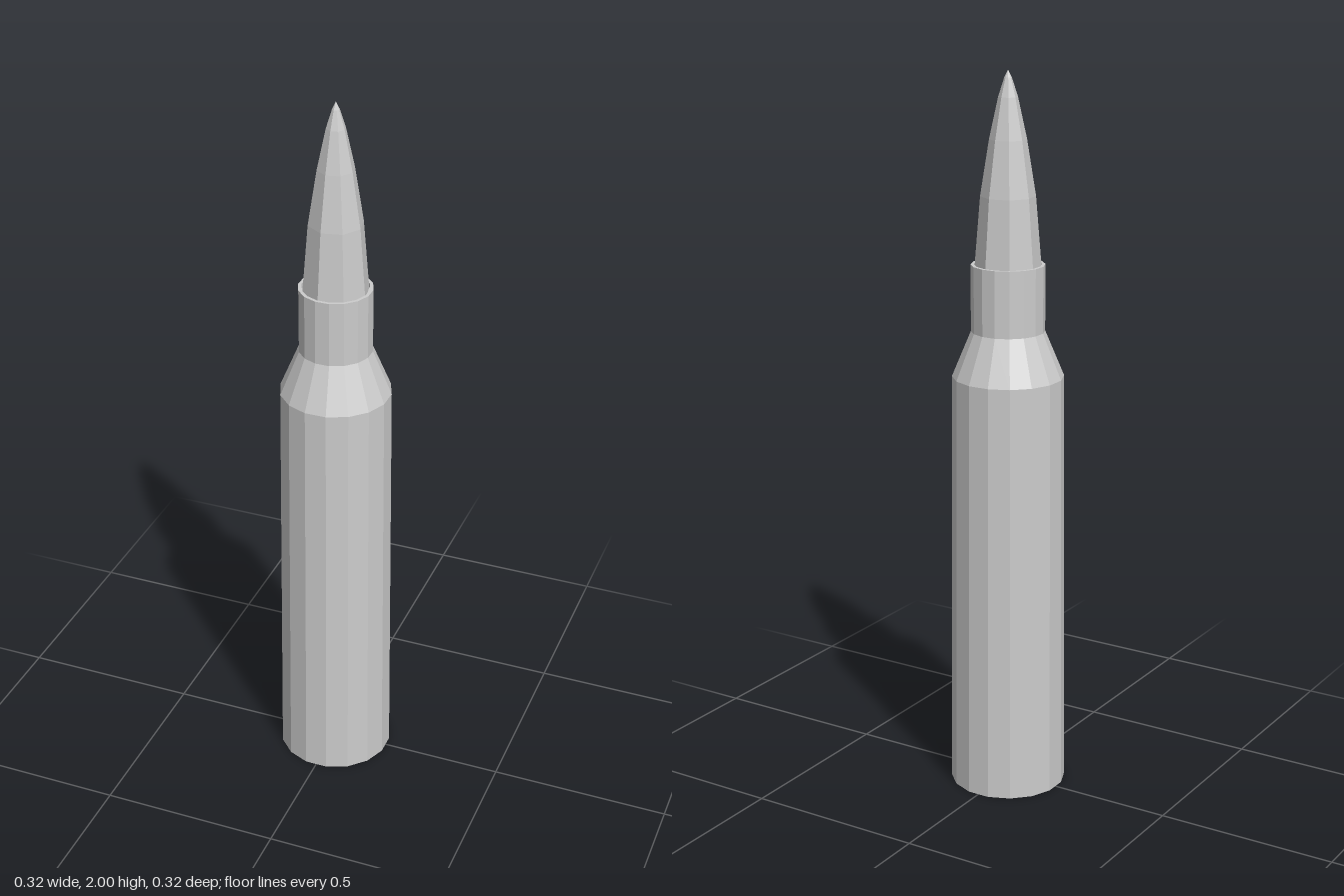
import * as THREE from 'three';

const material = new THREE.MeshStandardMaterial({ color: 0xcccccc, flatShading: true });

// Faceted solid of revolution from [radius, height] pairs, listed from bottom to top
function turned(name, profile, sides, startAngle) {
  const points = profile.map(([r, y]) => new THREE.Vector2(r, y));
  const mesh = new THREE.Mesh(new THREE.LatheGeometry(points, sides, startAngle), material);
  mesh.name = name;
  return mesh;
}

export function createModel() {
  const group = new THREE.Group();
  group.name = 'cartridge';

  // Tapered case with shoulder, neck and a shallow mouth behind the rim
  group.add(turned('case', [
    [0, 0], [0.161, 0], [0.152, 1.18], [0.1, 1.305], [0.1, 1.487],
    [0.091, 1.487], [0.091, 1.475], [0, 1.475],
  ], 16, Math.PI / 16));

  // Pointed eight-sided tip, seated in the neck
  group.add(turned('tip', [
    [0.09, 1.475], [0.074, 1.67], [0.05, 1.82], [0.026, 1.93], [0.01, 1.98], [0, 2],
  ], 8, THREE.MathUtils.degToRad(-10.5)));

  return group;
}
